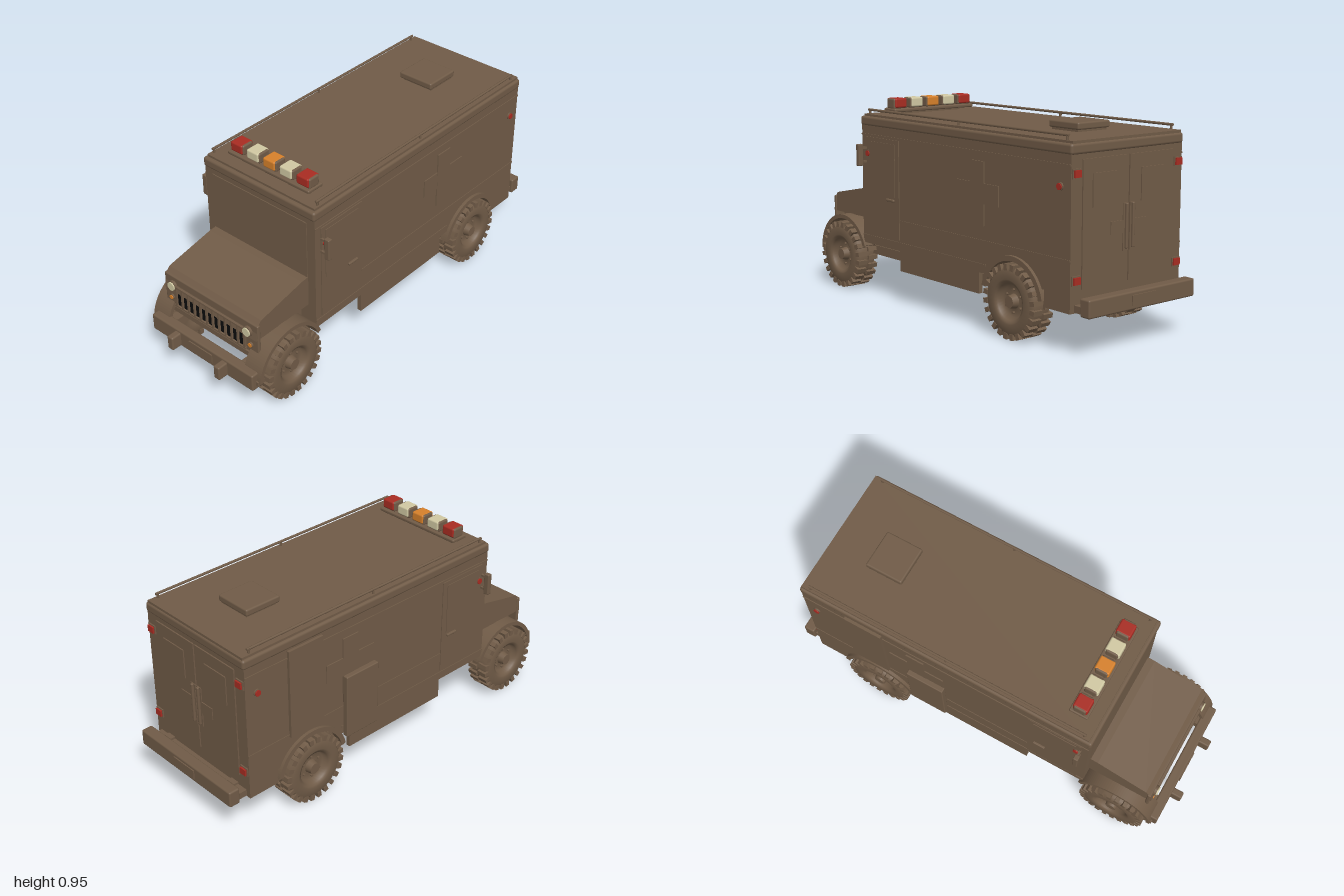
import * as THREE from 'three';
import { RoundedBoxGeometry } from 'three/addons/geometries/RoundedBoxGeometry.js';

const material = (name, color) => {
  const m = new THREE.MeshStandardMaterial({ color });
  m.name = name;
  return m;
};

export function createModel() {
  const brown = material('brown paint', 0x705b47);
  const red = material('red lens', 0xa82c22);
  const cream = material('cream lens', 0xd0c8a2);
  const orange = material('orange lens', 0xd6802a);
  const black = material('black grille', 0x0c0c0c);
  const model = new THREE.Group();
  model.name = 'van';

  const add = (name, geo, mat = brown, parent = model) => {
    const m = new THREE.Mesh(geo, mat);
    m.name = name;
    parent.add(m);
    return m;
  };
  // box given by its low and high corners
  const box = (name, x0, x1, y0, y1, z0, z1, mat = brown, round = 0) => {
    const s = [x1 - x0, y1 - y0, z1 - z0];
    const g = round ? new RoundedBoxGeometry(...s, 2, round) : new THREE.BoxGeometry(...s);
    g.translate((x0 + x1) / 2, (y0 + y1) / 2, (z0 + z1) / 2);
    return add(name, g, mat);
  };
  // the same box on both sides; x0 and x1 are distances from the centre
  const pair = (name, x0, x1, ...rest) => {
    box(name + 'Left', x0, x1, ...rest);
    box(name + 'Right', -x1, -x0, ...rest);
  };
  // side outline in (z, y) extruded across x
  const across = (name, shape, x0, x1) => {
    const g = new THREE.ExtrudeGeometry(shape, { depth: x1 - x0, bevelEnabled: false, curveSegments: 24 });
    g.rotateY(-Math.PI / 2).translate(x1, 0, 0);
    return add(name, g);
  };
  const disc = (name, r, depth, x, y, z, axis, mat = brown, seg = 20) => {
    const g = new THREE.CylinderGeometry(r, r, depth, seg);
    if (axis === 'x') g.rotateZ(Math.PI / 2);
    if (axis === 'z') g.rotateX(Math.PI / 2);
    g.translate(x, y, z);
    return add(name, g, mat);
  };

  const W = 0.323, FRONT = 0.56, BACK = -0.895;
  const axleY = 0.165, frontZ = 0.727, rearZ = -0.55;

  // Body with rear wheel notch
  const body = new THREE.Shape();
  const a = Math.asin((0.25 - axleY) / 0.178), dz = 0.178 * Math.cos(a);
  body.moveTo(BACK, 0.25);
  body.lineTo(rearZ - dz, 0.25);
  body.absarc(rearZ, axleY, 0.178, Math.PI - a, a, true);
  body.lineTo(FRONT, 0.25);
  body.lineTo(FRONT, 0.83);
  body.lineTo(BACK, 0.83);
  across('body', body, -W, W);
  box('roofCap', -W - 0.004, W + 0.004, 0.82, 0.866, BACK - 0.006, FRONT + 0.008, brown, 0.012);
  box('roof', -0.315, 0.315, 0.86, 0.876, BACK, FRONT - 0.01);
  pair('upperTrim', W - 0.01, W + 0.004, 0.776, 0.783, BACK, FRONT);
  pair('beltTrim', W - 0.01, W + 0.003, 0.39, 0.397, BACK, 0.26);
  pair('sillTrim', W - 0.01, W + 0.003, 0.285, 0.292, -0.37, FRONT);
  pair('middleSkirt', W - 0.02, W, 0.155, 0.26, -0.32, 0.26);
  pair('rearSkirt', W - 0.02, W, 0.176, 0.26, BACK, -0.74);
  box('tailPanel', -W, W, 0.176, 0.26, BACK, BACK + 0.02);

  // Chassis
  pair('chassisRail', 0.2, 0.245, 0.176, 0.22, -0.92, 0.92);
  for (const z of [-0.8, -0.3, 0.3]) box('crossMember', -0.2, 0.2, 0.18, 0.215, z - 0.02, z + 0.02);
  box('frontCrossMember', -0.25, 0.25, 0.238, 0.264, 0.85, 0.876);
  for (const z of [frontZ, rearZ]) disc('axle', 0.018, 0.56, 0, axleY, z, 'x');

  // Windscreen frame and cab door details
  box('windscreen', -0.278, 0.278, 0.5, 0.795, FRONT - 0.01, FRONT + 0.004);
  pair('cabDoor', W - 0.01, W + 0.004, 0.3, 0.77, 0.262, 0.525);
  pair('doorWindow', W, W + 0.007, 0.5, 0.75, 0.29, 0.5);
  pair('doorHandle', W, W + 0.014, 0.478, 0.49, 0.295, 0.355, brown, 0.004);

  // Bonnet and nose
  const hood = new THREE.Shape([[0.55, 0.36], [0.885, 0.36], [0.872, 0.432], [0.85, 0.455],
    [0.6, 0.507], [0.55, 0.511]].map(p => new THREE.Vector2(...p)));
  across('bonnet', hood, -0.28, 0.28);
  box('engineBay', -0.236, 0.236, 0.27, 0.37, 0.55, 0.872);
  box('nosePanel', -0.285, 0.285, 0.285, 0.437, 0.86, 0.878, brown, 0.006);
  box('grille', -0.215, 0.212, 0.29, 0.39, 0.876, 0.881, black);
  for (let i = 0; i <= 11; i++) {
    const x = -0.209 + i * 0.038;
    box('grilleBar', x - 0.005, x + 0.005, 0.288, 0.392, 0.878, 0.889);
  }
  for (const y of [0.288, 0.392]) box('grilleEdge', -0.22, 0.217, y - 0.004, y + 0.004, 0.876, 0.889);
  for (const s of [-1, 1]) {
    disc('headlightRim', 0.025, 0.02, s * 0.23, 0.39, 0.88, 'z');
    disc('headlight', 0.021, 0.008, s * 0.23, 0.39, 0.892, 'z', cream);
    disc('indicatorRim', 0.013, 0.01, s * 0.242, 0.32, 0.88, 'z');
    disc('indicator', 0.01, 0.008, s * 0.242, 0.32, 0.885, 'z', orange);
  }

  // Wheel arches
  const arch = (z, r0, r1, start, end) => {
    const s = new THREE.Shape();
    s.absarc(z, axleY, r1, start, end, false);
    s.absarc(z, axleY, r0, end, start, true);
    return s;
  };
  for (const s of [-1, 1]) {
    const lo = (p, q) => (s > 0 ? [p, q] : [-q, -p]);
    across('frontFender', arch(frontZ, 0.178, 0.197, 0.05, Math.PI - 0.35), ...lo(0.235, 0.333));
    across('rearArch', arch(rearZ, 0.174, 0.197, 0.2, Math.PI - 0.2), ...lo(0.3, 0.338));
  }
  pair('fenderFoot', 0.25, 0.325, 0.165, 0.185, 0.885, 0.93);

  // Bumpers
  box('frontBumper', -0.312, 0.312, 0.14, 0.225, 0.9, 0.95, brown, 0.008);
  pair('bumperGuard', 0.127, 0.162, 0.145, 0.215, 0.94, 1.0, brown, 0.008);
  box('frontPlate', -0.073, 0.07, 0.158, 0.206, 0.945, 0.955);
  box('rearBumper', -0.312, 0.312, 0.172, 0.25, -0.995, -0.94, brown, 0.008);
  box('rearStep', -0.3, 0.3, 0.18, 0.21, -0.95, -0.885);
  box('rearPlate', -0.07, 0.07, 0.19, 0.235, -1.0, -0.99);

  // Light bar
  box('lightBarBase', -0.24, 0.236, 0.885, 0.902, 0.41, 0.5, brown, 0.006);
  box('lightBarFoot', -0.17, 0.17, 0.87, 0.89, 0.43, 0.48);
  [red, cream, orange, cream, red].forEach((mat, i) => {
    const x = -0.195 + i * 0.0965;
    box('beaconFrame', x - 0.039, x + 0.039, 0.9, 0.949, 0.425, 0.485, brown, 0.008);
    box('beaconLens', x - 0.034, x + 0.034, 0.905, 0.95, 0.42, 0.491, mat, 0.008);
  });

  // Roof rails and hatch
  for (const s of [-1, 1]) {
    disc('roofRail', 0.006, 1.39, s * 0.303, 0.896, -0.165, 'z', brown, 8);
    for (const z of [0.52, -0.16, -0.85]) disc('railPost', 0.006, 0.04, s * 0.303, 0.88, z, 'y', brown, 8);
  }
  box('roofHatchBase', -0.085, 0.082, 0.87, 0.89, -0.68, -0.52);
  box('roofHatch', -0.097, 0.09, 0.885, 0.917, -0.69, -0.507, brown, 0.008);

  // Mirrors and side markers
  pair('mirror', 0.35, 0.378, 0.63, 0.735, 0.512, 0.536, brown, 0.005);
  for (const y of [0.65, 0.715]) pair('mirrorArm', W, 0.36, y - 0.005, y + 0.005, 0.518, 0.528);
  for (const s of [-1, 1]) for (const z of [0.505, -0.835]) {
    disc('markerRim', 0.017, 0.008, s * (W + 0.003), 0.69, z, 'x');
    disc('marker', 0.014, 0.012, s * (W + 0.006), 0.69, z, 'x', red);
  }

  // Side crosses, right side door and locker
  pair('crossUpright', W, W + 0.006, 0.46, 0.74, -0.36, -0.27);
  pair('crossBar', W, W + 0.005, 0.555, 0.645, -0.455, -0.175);
  box('sideDoor', -0.337, -W, 0.385, 0.815, -0.67, -0.48);
  box('sideLocker', -0.352, -W, 0.24, 0.555, -0.36, -0.17, brown, 0.005);

  // Rear doors
  pair('rearDoor', 0.004, 0.262, 0.27, 0.8, BACK - 0.006, BACK + 0.01);
  pair('rearWindow', 0.07, 0.21, 0.6, 0.74, BACK - 0.011, BACK);
  pair('rearHandle', 0.012, 0.026, 0.41, 0.6, BACK - 0.02, BACK, brown, 0.004);
  pair('rearCrossBar', 0.004, 0.105, 0.475, 0.53, BACK - 0.01, BACK);
  pair('rearCrossUpright', 0.004, 0.035, 0.4, 0.6, BACK - 0.01, BACK);
  for (const y of [0.745, 0.31]) {
    pair('tailLampFrame', 0.272, 0.318, y - 0.02, y + 0.02, BACK - 0.006, BACK);
    pair('tailLamp', 0.277, 0.313, y - 0.015, y + 0.015, BACK - 0.014, BACK, red);
  }

  // Wheels: lathed tyre and rim, with two staggered rows of tread blocks
  const profile = [[0, 0.03], [0.026, 0.03], [0.03, 0.02], [0.07, 0.02], [0.08, 0.045], [0.09, 0.05],
    [0.098, 0.056], [0.135, 0.054], [0.152, 0.04], [0.152, -0.04], [0.135, -0.054], [0.09, -0.05],
    [0.07, -0.02], [0, -0.02]].reverse().map(p => new THREE.Vector2(...p));
  const tyreGeo = new THREE.LatheGeometry(profile, 36).rotateZ(-Math.PI / 2);
  const lugGeo = new THREE.BoxGeometry(0.05, 0.028, 0.021);
  const hubGeo = new THREE.CylinderGeometry(0.026, 0.032, 0.03, 16).rotateZ(-Math.PI / 2);
  const nutGeo = new THREE.CylinderGeometry(0.006, 0.006, 0.012, 6).rotateZ(Math.PI / 2);
  for (const s of [-1, 1]) for (const z of [frontZ, rearZ]) {
    const wheel = new THREE.Group();
    wheel.name = 'wheel';
    wheel.position.set(s * 0.298, axleY, z);
    if (s < 0) wheel.rotation.y = Math.PI;
    add('tyre', tyreGeo, brown, wheel);
    add('hub', hubGeo, brown, wheel).position.x = 0.035;
    for (let i = 0; i < 48; i++) {
      const t = (i / 48) * Math.PI * 2;
      const lug = add('treadBlock', lugGeo, brown, wheel);
      lug.position.set(i % 2 ? 0.03 : -0.03, 0.15 * Math.cos(t), 0.15 * Math.sin(t));
      lug.rotation.x = t;
    }
    for (let i = 0; i < 6; i++) {
      const t = (i / 6) * Math.PI * 2;
      add('wheelNut', nutGeo, brown, wheel).position.set(0.024, 0.05 * Math.cos(t), 0.05 * Math.sin(t));
    }
    model.add(wheel);
  }
  return model;
}
